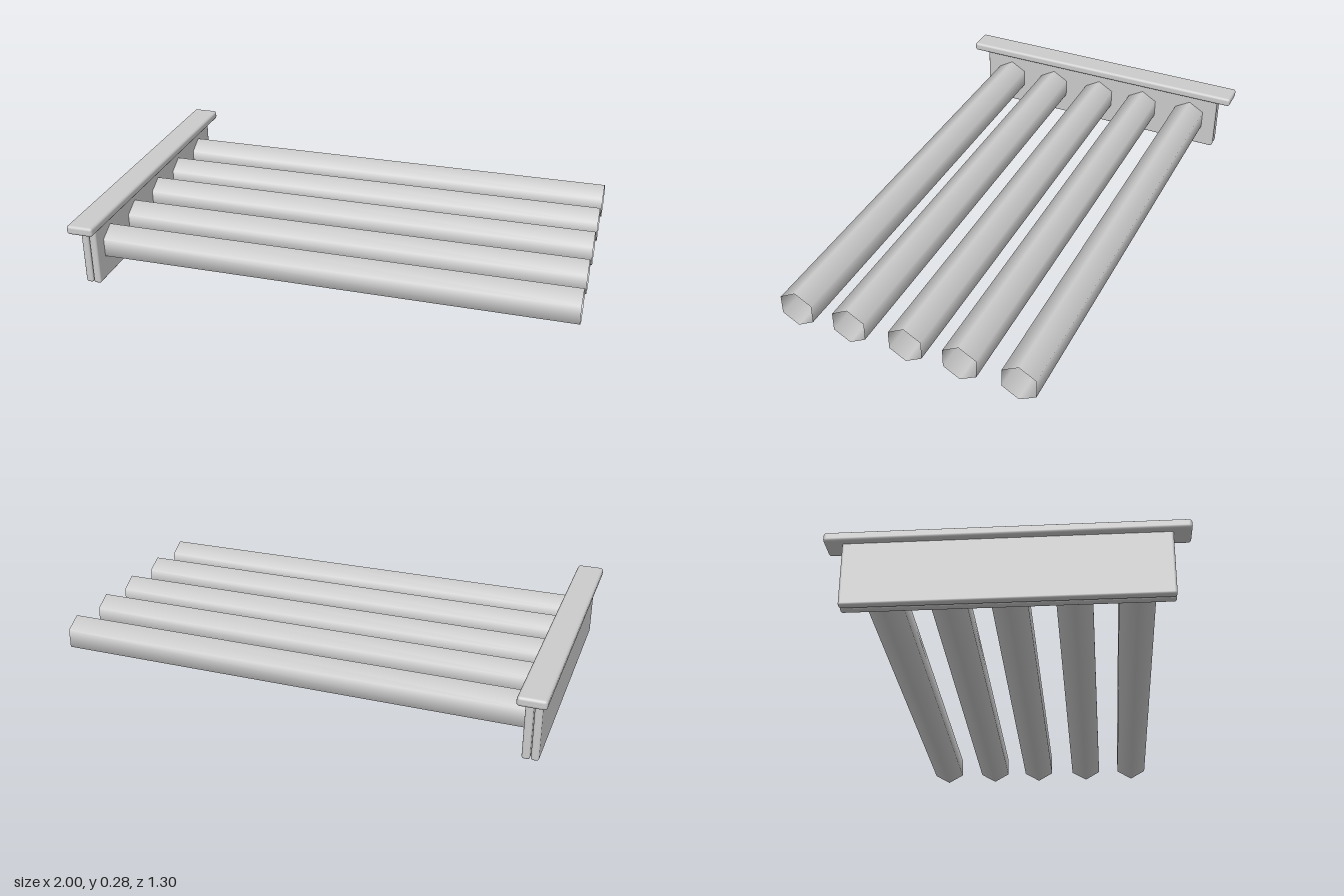
import * as THREE from 'three';
import { RoundedBoxGeometry } from 'three/addons/geometries/RoundedBoxGeometry.js';

export function createModel() {
  const model = new THREE.Group();
  model.name = 'tubeRack';
  const solid = new THREE.MeshStandardMaterial({ color: 0xcccccc });
  const open = new THREE.MeshStandardMaterial({ color: 0xcccccc, side: THREE.DoubleSide });

  // Softly bevelled board given by its x and y extents and its length along z
  function board(name, x0, x1, y0, y1, length, bevel) {
    const geometry = new RoundedBoxGeometry(x1 - x0, y1 - y0, length, 2, bevel);
    const mesh = new THREE.Mesh(geometry, solid);
    mesh.name = name;
    mesh.position.set((x0 + x1) / 2, (y0 + y1) / 2, 0);
    model.add(mesh);
  }

  // Two upright plates side by side under a wider top rail
  board('outerPlate', -0.976, -0.946, 0, 0.255, 1.17, 0.009);
  board('innerPlate', -0.943, -0.912, 0, 0.255, 1.17, 0.009);
  board('topRail', -1, -0.89, 0.246, 0.284, 1.3, 0.012);

  // Open six-sided tubes with smooth normals, a corner at top and bottom
  const start = -0.925, end = 1;
  const tubeGeometry = new THREE.CylinderGeometry(0.077, 0.077, end - start, 6, 1, true, Math.PI / 2);
  tubeGeometry.rotateZ(-Math.PI / 2);
  [-0.459, -0.226, -0.005, 0.231, 0.457].forEach((z, i) => {
    const tube = new THREE.Mesh(tubeGeometry, open);
    tube.name = `tube${i + 1}`;
    tube.position.set((start + end) / 2, 0.135, z);
    model.add(tube);
  });

  return model;
}
